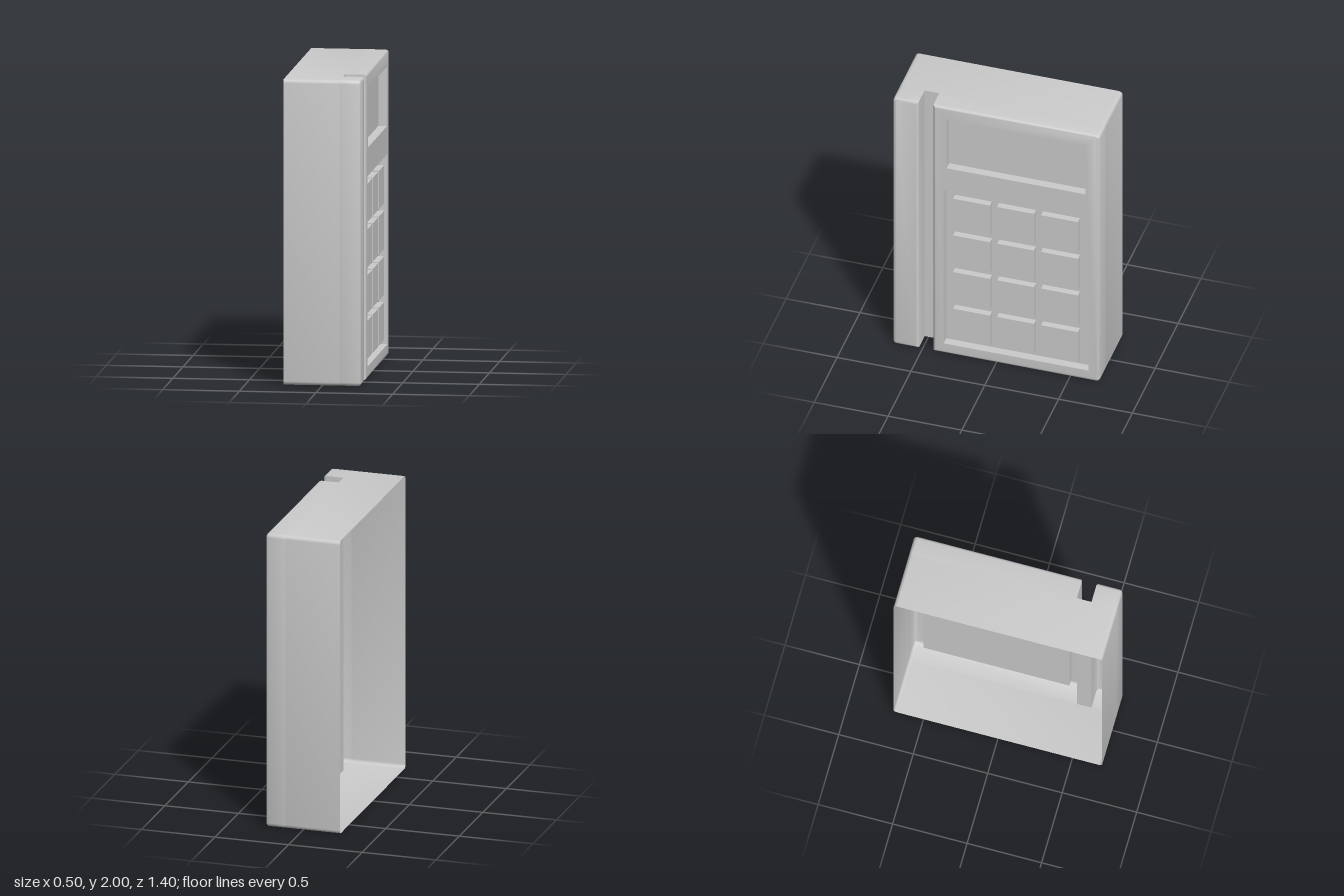
import * as THREE from 'three';
import { mergeGeometries, toCreasedNormals } from 'three/addons/utils/BufferGeometryUtils.js';

// Built facing +z (u across, y up, depth forward), then turned to face +x.
const BACK = -0.252, FRONT = 0.252, GROOVE = 0.115, BEVEL = 0.02, RECESS = 0.195, KEY_TOP = 0.24;
const ROUND = 0.025;

// Counter-clockwise rectangle; rLeft and rRight round the corners on each side
function outline(u0, u1, y0, y1, rLeft = 0, rRight = 0, inset = 0) {
  const corners = [
    [u1, y0, -1, 1, rRight, -Math.PI / 2], [u1, y1, -1, -1, rRight, 0],
    [u0, y1, 1, -1, rLeft, Math.PI / 2], [u0, y0, 1, 1, rLeft, Math.PI],
  ];
  const pts = [];
  for (const [u, y, su, sy, r, start] of corners) {
    const rad = r ? Math.max(r - inset, 0.004) : 0;
    const cu = u + su * (inset + rad), cy = y + sy * (inset + rad);
    const n = r ? 4 : 0;
    for (let i = 0; i <= n; i++) {
      const a = start + (n ? (i / n) * Math.PI / 2 : 0);
      pts.push(new THREE.Vector2(cu + rad * Math.cos(a), cy + rad * Math.sin(a)));
    }
  }
  return pts;
}

// Walls through a list of [outline, depth] rings
function loft(rings) {
  const pos = [];
  for (let i = 0; i < rings.length - 1; i++) {
    const [p, d0] = rings[i], [q, d1] = rings[i + 1];
    for (let j = 0; j < p.length; j++) {
      const k = (j + 1) % p.length;
      const a = [p[j].x, p[j].y, d0], b = [p[k].x, p[k].y, d0];
      const c = [q[k].x, q[k].y, d1], d = [q[j].x, q[j].y, d1];
      pos.push(...a, ...b, ...c, ...a, ...c, ...d);
    }
  }
  const g = new THREE.BufferGeometry();
  g.setAttribute('position', new THREE.Float32BufferAttribute(pos, 3));
  return g;
}

// Flat face at a depth, with optional holes
function face(points, depth, holes = []) {
  const shape = new THREE.Shape(points);
  shape.holes = holes.map(h => new THREE.Path(h));
  const g = new THREE.ShapeGeometry(shape).toNonIndexed();
  g.deleteAttribute('uv');
  g.deleteAttribute('normal');
  return g.translate(0, 0, depth);
}

// Walls closed by a face at the last ring
function capped(rings, holes) {
  const [pts, depth] = rings[rings.length - 1];
  return mergeGeometries([loft(rings), face(pts, depth, holes)]);
}

// Front block with a rounded front edge
function block(u0, u1, rLeft, rRight, holes) {
  const rings = [[outline(u0, u1, 0, 2, rLeft, rRight), GROOVE]];
  for (let i = 0; i <= 4; i++) {
    const a = (i / 4) * Math.PI / 2;
    rings.push([
      outline(u0, u1, 0, 2, rLeft, rRight, BEVEL * (1 - Math.cos(a))),
      FRONT - BEVEL + BEVEL * Math.sin(a),
    ]);
  }
  return capped(rings, holes);
}

export function createModel() {
  const group = new THREE.Group();
  group.name = 'keypadTerminal';
  const body = new THREE.Group();
  body.name = 'body';
  body.rotation.y = Math.PI / 2;
  group.add(body);

  const material = new THREE.MeshStandardMaterial({ color: 0xcccccc, side: THREE.DoubleSide });
  const add = (name, geometry) => {
    const mesh = new THREE.Mesh(toCreasedNormals(geometry, 0.6), material);
    mesh.name = name;
    body.add(mesh);
  };

  const screen = outline(-0.335, 0.605, 1.51, 1.9);
  const pad = outline(-0.355, 0.625, 0.08, 1.325);

  // Open-backed casing
  const shell = outline(-0.7, 0.7, 0, 2, ROUND, ROUND);
  add('casing', loft([[shell, BACK], [shell, GROOVE]]));
  add('keypadFront', block(-0.428, 0.7, 0, ROUND, [screen, pad]));
  add('cardSlotCheek', block(-0.7, -0.526, ROUND, 0));
  add('cardSlotFloor', face(outline(-0.526, -0.428, 0, 2), GROOVE));

  // Sunken screen and keypad trays
  add('screenRecess', capped([[screen, FRONT], [screen, RECESS]]));
  add('keypadRecess', capped([[pad, FRONT], [pad, RECESS]]));

  // Keys, three columns by four rows
  for (let row = 0; row < 4; row++) {
    for (let col = 0; col < 3; col++) {
      const u = -0.295 + col * 0.298, y = 0.117 + row * 0.2985;
      const key = outline(u, u + 0.25, y, y + 0.25);
      add('key', capped([[key, RECESS], [key, KEY_TOP]]));
    }
  }
  return group;
}
